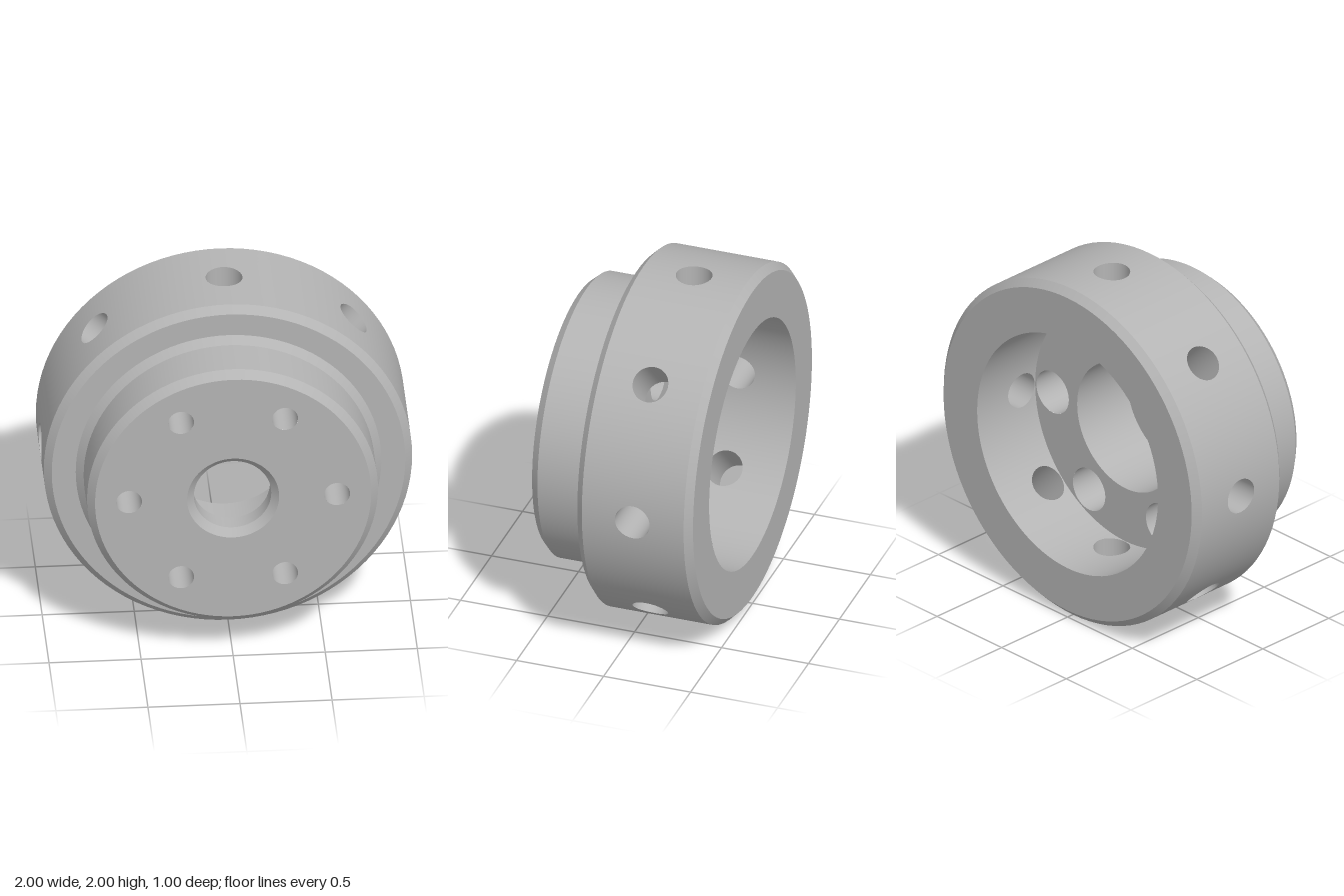
import * as THREE from 'three';
import { ParametricGeometry } from 'three/addons/geometries/ParametricGeometry.js';

const SECTORS = 8, EDGE = 12;            // radial holes, segments per sector edge
const HOLE_R = 0.1, HOLE_Z = -0.165;     // radial holes
const BOLTS = 6, BOLT_CIRCLE = 0.565;    // axial bolt holes
const FLOOR_Z = -0.06, CAVITY_R = 0.7, BORE_R = 0.375;

export function createModel() {
  const model = new THREE.Group();
  const steel = new THREE.MeshStandardMaterial({ color: 0xb4b4b4 });
  steel.name = 'greySteel';

  // Body is worked out around the z axis, then lifted to stand on y = 0
  const body = new THREE.Group();
  body.name = 'hub';
  body.position.y = 1;
  model.add(body);

  const add = (name, geometry, parent = body) => {
    const mesh = new THREE.Mesh(geometry, steel);
    mesh.name = name;
    parent.add(mesh);
    return mesh;
  };

  // Turned surface: each [r, z] step is its own lathe band, so edges stay sharp
  const turned = (name, profile, segments) => {
    const group = new THREE.Group();
    group.name = name;
    for (let i = 0; i + 1 < profile.length; i++) {
      const points = [profile[i], profile[i + 1]].map(([r, z]) => new THREE.Vector2(r, z));
      add(name + 'Band', new THREE.LatheGeometry(points, segments).rotateX(Math.PI / 2), group);
    }
    body.add(group);
    return group;
  };

  const round = SECTORS * EDGE;
  turned('backRim', [[CAVITY_R, -0.5], [0.96, -0.5], [1, -0.46]], round);
  turned('frontShoulder', [[1, 0.125], [0.96, 0.165], [0.83, 0.165], [0.79, 0.205],
    [0.79, 0.455], [0.75, 0.5]], round);
  turned('centreBore', [[0.25, 0.5], [0.21, 0.46], [0.21, 0.36], [0.25, 0.32],
    [BORE_R, 0.32], [BORE_R, FLOOR_Z]], round);

  // Flat discs pierced by the centre bore and the bolt holes
  const disc = (outer, centre, bolt) => {
    const circle = (Type, x, y, r) => new Type().absarc(x, y, r, 0, Math.PI * 2, false);
    const shape = circle(THREE.Shape, 0, 0, outer);
    shape.holes.push(circle(THREE.Path, 0, 0, centre));
    for (let i = 0; i < BOLTS; i++) {
      const a = i * Math.PI * 2 / BOLTS;
      shape.holes.push(circle(THREE.Path, BOLT_CIRCLE * Math.cos(a), BOLT_CIRCLE * Math.sin(a), bolt));
    }
    return new THREE.ShapeGeometry(shape, 48);
  };
  add('frontFace', disc(0.75, 0.25, 0.07)).position.z = 0.5;
  const floor = add('cavityFloor', disc(CAVITY_R, BORE_R, 0.125));
  floor.rotation.y = Math.PI;
  floor.position.z = FLOOR_Z;

  // Counterbored bolt holes
  for (let i = 0; i < BOLTS; i++) {
    const a = i * Math.PI * 2 / BOLTS;
    const hole = turned('boltHole', [[0.07, 0.5], [0.07, 0.25], [0.125, 0.25], [0.125, FLOOR_Z]], 48);
    hole.position.set(BOLT_CIRCLE * Math.cos(a), BOLT_CIRCLE * Math.sin(a), 0);
  }

  // Point v of the way round a radial hole, on the cylinder of radius R: [angle, z]
  const holeEdge = (v, R) => {
    const t = v * Math.PI * 2 - Math.PI * 0.75;
    return [Math.asin(HOLE_R * Math.cos(t) / R), HOLE_Z + HOLE_R * Math.sin(t)];
  };

  // Point v of the way round the border of one wall sector: [angle, z]
  const sectorEdge = (v, z0, z1) => {
    const h = Math.PI / SECTORS;
    const corners = [[-h, z0], [h, z0], [h, z1], [-h, z1]];
    const side = Math.floor(v * 4), f = v * 4 - side;
    const p = corners[side % 4], q = corners[(side + 1) % 4];
    return [p[0] + (q[0] - p[0]) * f, p[1] + (q[1] - p[1]) * f];
  };

  // Wall sector spreading from the hole edge to the sector border
  const wall = (R, z0, z1, inward) => {
    const at = (u, v, target) => {
      const a = holeEdge(v, R), b = sectorEdge(v, z0, z1);
      const angle = a[0] + (b[0] - a[0]) * u;
      target.set(R * Math.cos(angle), R * Math.sin(angle), a[1] + (b[1] - a[1]) * u);
    };
    return inward
      ? new ParametricGeometry((v, u, target) => at(u, v, target), EDGE * 4, 8)
      : new ParametricGeometry(at, 8, EDGE * 4);
  };
  const outerWall = wall(1, -0.46, 0.125, false);
  const innerWall = wall(CAVITY_R, -0.5, FLOOR_Z, true);

  // Radial hole lining between the two walls
  const lining = new ParametricGeometry((u, v, target) => {
    const R = CAVITY_R + (1 - CAVITY_R) * u;
    const [angle, z] = holeEdge(v, R);
    target.set(R * Math.cos(angle), R * Math.sin(angle), z);
  }, 2, EDGE * 4);

  for (let i = 0; i < SECTORS; i++) {
    const sector = new THREE.Group();
    sector.name = 'wallSector';
    sector.rotation.z = i * Math.PI * 2 / SECTORS;
    add('outerWall', outerWall, sector);
    add('cavityWall', innerWall, sector);
    add('radialHole', lining, sector);
    body.add(sector);
  }
  return model;
}
